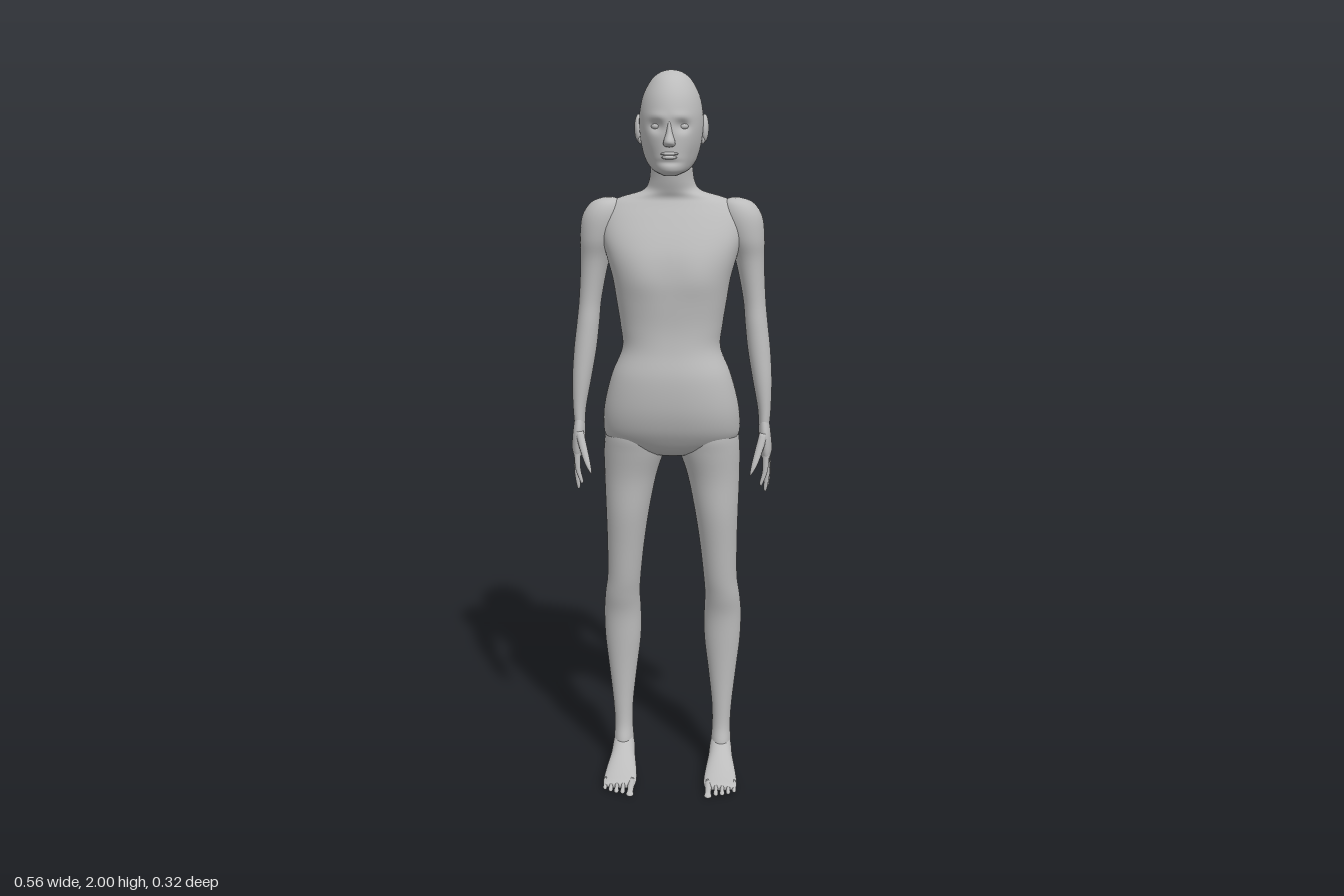
import * as THREE from 'three';

const skin = new THREE.MeshStandardMaterial({ color: 0xbcbcbc });
skin.name = 'grey skin';

const bell = (d, w) => Math.exp(-(d * d) / (w * w));

// Smooth skin over superellipse sections [t, a0, a1, b0, b1, power].
// axis 'y': t = y, a = x, b = z.  axis 'z': t = z, a = x, b = y.
function loft(name, rows, { axis = 'y', side = 1, seg = 32, steps = 5, rule } = {}) {
  const full = rows.map(r => (r.length > 5 ? r : [...r, 2]));
  const at = i => full[Math.max(0, Math.min(full.length - 1, i))];
  const rings = [];
  for (let i = 0; i < full.length - 1; i++) {
    for (let s = 0; s < steps || (i === full.length - 2 && s === steps); s++) {
      const u = s / steps;
      rings.push(full[0].map((_, k) => {
        const [p, q, r, w] = [at(i - 1)[k], at(i)[k], at(i + 1)[k], at(i + 2)[k]];
        return q + 0.5 * u * (r - p + u * (2 * p - 5 * q + 4 * r - w + u * (3 * (q - r) + w - p)));
      }));
    }
  }
  const pos = [], idx = [];
  const put = (t, a, b) => {
    const v = axis === 'y' ? new THREE.Vector3(a * side, t, b) : new THREE.Vector3(a * side, b, t);
    if (rule) rule(v);
    pos.push(v.x, v.y, v.z);
  };
  for (const [t, a0, a1, b0, b1, n] of rings) {
    for (let j = 0; j < seg; j++) {
      const f = (j / seg) * Math.PI * 2, c = Math.cos(f), d = Math.sin(f);
      put(t, (a0 + a1) / 2 + (a1 - a0) / 2 * Math.sign(c) * Math.abs(c) ** (2 / n),
        (b0 + b1) / 2 + (b1 - b0) / 2 * Math.sign(d) * Math.abs(d) ** (2 / n));
    }
  }
  const last = rings.length - 1, cap = rings.length * seg;
  for (const r of [rings[0], rings[last]]) put(r[0], (r[1] + r[2]) / 2, (r[3] + r[4]) / 2);
  for (let j = 0; j < seg; j++) {
    const k = (j + 1) % seg;
    for (let i = 0; i < last; i++) {
      const p = i * seg, q = p + seg;
      idx.push(p + j, p + k, q + j, p + k, q + k, q + j);
    }
    idx.push(cap, k, j, cap + 1, last * seg + j, last * seg + k);
  }
  // Turn the faces outward, whichever way the sections run
  let volume = 0;
  const P = i => new THREE.Vector3().fromArray(pos, i * 3);
  for (let i = 0; i < idx.length; i += 3) volume += P(idx[i]).dot(P(idx[i + 1]).cross(P(idx[i + 2])));
  if (volume < 0) idx.reverse();
  const geo = new THREE.BufferGeometry();
  geo.setAttribute('position', new THREE.Float32BufferAttribute(pos, 3));
  geo.setIndex(idx);
  geo.computeVertexNormals();
  const mesh = new THREE.Mesh(geo, skin);
  mesh.name = name;
  return mesh;
}

function ball(name, [x, y, z], [rx, ry, rz], tilt = 0) {
  const mesh = new THREE.Mesh(new THREE.SphereGeometry(1, 24, 16), skin);
  mesh.name = name;
  mesh.position.set(x, y, z);
  mesh.scale.set(rx, ry, rz);
  mesh.rotation.x = tilt;
  return mesh;
}

// Symmetric section: half width, back, front
const sym = rows => rows.map(([y, w, z0, z1, n = 2]) => [y, -w, w, z0, z1, n]);

// Thin digit hanging along y through points [x, y, z, radius]
const digit = (name, pts, side) => loft(name,
  pts.map(([x, y, z, r]) => [y, x - r, x + r, z - r, z + r]), { side, seg: 10, steps: 4 });

function buildTorso() {
  return loft('torso', sym([
    [1.75, 0.056, -0.084, 0.042], [1.715, 0.061, -0.092, 0.034], [1.69, 0.078, -0.106, 0.026],
    [1.672, 0.135, -0.118, 0.02], [1.655, 0.17, -0.13, 0.026, 2.1], [1.62, 0.19, -0.147, 0.045, 2.3],
    [1.57, 0.19, -0.155, 0.07, 2.5], [1.52, 0.177, -0.158, 0.088, 2.6], [1.46, 0.16, -0.154, 0.096, 2.6],
    [1.4, 0.15, -0.144, 0.094, 2.5], [1.33, 0.139, -0.127, 0.091, 2.4], [1.27, 0.134, -0.111, 0.096, 2.3],
    [1.2, 0.162, -0.109, 0.109, 2.3], [1.12, 0.183, -0.132, 0.107, 2.4], [1.06, 0.189, -0.147, 0.093, 2.5],
    [1.02, 0.183, -0.138, 0.073, 2.4], [0.99, 0.145, -0.112, 0.05, 2.2], [0.97, 0.07, -0.065, 0.02],
  ]), {
    seg: 80,
    rule: v => {
      if (v.z < -0.05) { // spine groove and cleft
        v.z += 0.006 * bell(v.x, 0.025) * bell(v.y - 1.38, 0.2);
        v.z += 0.028 * bell(v.x, 0.016) * bell(v.y - 1.045, 0.06);
      } else if (v.z > 0.03) { // chest
        v.z += 0.005 * bell(Math.abs(v.x) - 0.075, 0.05) * bell(v.y - 1.47, 0.06);
      }
    },
  });
}

function buildHead() {
  const g = new THREE.Group();
  g.name = 'head';
  g.add(loft('skull', sym([
    [2, 0.004, -0.01, 0.0], [1.994, 0.028, -0.045, 0.03], [1.975, 0.052, -0.08, 0.066],
    [1.94, 0.072, -0.104, 0.094], [1.9, 0.082, -0.116, 0.109], [1.86, 0.084, -0.117, 0.113],
    [1.82, 0.08, -0.108, 0.113], [1.79, 0.073, -0.09, 0.112], [1.765, 0.063, -0.065, 0.112],
    [1.745, 0.047, -0.025, 0.108], [1.733, 0.02, 0.03, 0.09],
  ]), {
    seg: 80,
    steps: 7,
    rule: v => {
      if (v.z < 0.02) return;
      v.x *= 1 - 0.12 * bell(v.y - 1.76, 0.05) * Math.min(1, (v.z - 0.02) / 0.05); // narrow jaw
      v.z -= 0.014 * bell(Math.abs(v.x) - 0.034, 0.017) * bell(v.y - 1.858, 0.014); // eye sockets
      v.z += 0.004 * bell(Math.abs(v.x) - 0.03, 0.025) * bell(v.y - 1.883, 0.01); // brow
      v.z -= 0.005 * bell(v.x, 0.03) * bell(v.y - 1.768, 0.007); // hollow above chin
    },
  }));
  g.add(loft('nose', sym([
    [1.872, 0.005, 0.09, 0.112], [1.842, 0.009, 0.09, 0.122], [1.82, 0.015, 0.09, 0.134],
    [1.81, 0.014, 0.09, 0.125], [1.806, 0.005, 0.095, 0.11],
  ]), { seg: 20 }));
  g.add(ball('upperLip', [0, 1.79, 0.108], [0.023, 0.005, 0.011]));
  g.add(ball('lowerLip', [0, 1.781, 0.107], [0.02, 0.0055, 0.011]));
  for (const s of [1, -1]) {
    g.add(ball('eye', [s * 0.034, 1.858, 0.083], [0.014, 0.009, 0.012]));
    g.add(ball('ear', [s * 0.087, 1.852, -0.012], [0.011, 0.036, 0.02], -0.15));
    g.add(ball('earLobe', [s * 0.082, 1.823, -0.004], [0.007, 0.012, 0.01]));
  }
  return g;
}

function buildArm(side) {
  const g = new THREE.Group();
  g.name = side > 0 ? 'leftArm' : 'rightArm';
  g.add(loft('arm', [
    [1.67, 0.155, 0.185, -0.06, -0.03], [1.657, 0.135, 0.218, -0.09, -0.002], [1.62, 0.13, 0.243, -0.102, 0.012],
    [1.56, 0.15, 0.25, -0.104, 0.01], [1.5, 0.172, 0.25, -0.1, -0.004], [1.4, 0.193, 0.255, -0.088, -0.01],
    [1.33, 0.2, 0.262, -0.079, -0.004], [1.26, 0.208, 0.27, -0.07, 0.002], [1.18, 0.222, 0.275, -0.058, 0.007],
    [1.1, 0.237, 0.274, -0.046, 0.008], [1.05, 0.241, 0.27, -0.042, 0.01],
  ], { side }));
  g.add(loft('palm', [
    [1.07, 0.242, 0.269, -0.042, 0.008], [1.03, 0.24, 0.275, -0.052, 0.02],
    [0.985, 0.243, 0.279, -0.064, 0.018], [0.96, 0.25, 0.274, -0.062, 0.012],
  ], { side }));
  // Four fingers: root z, tip x, tip y, tip z
  for (const [z, tx, ty, tz] of [
    [0.005, 0.25, 0.885, 0.012], [-0.015, 0.262, 0.862, -0.016], [-0.035, 0.268, 0.868, -0.045], [-0.053, 0.27, 0.9, -0.078],
  ]) {
    g.add(digit('finger', [
      [0.262, 0.98, z, 0.0095], [(0.27 + tx) / 2, (0.97 + ty) / 2, (z + tz) / 2, 0.0075],
      [tx, ty + 0.008, tz, 0.005], [tx, ty, tz, 0.001],
    ], side));
  }
  g.add(digit('thumb', [
    [0.255, 1.035, 0.008, 0.012], [0.242, 0.99, 0.026, 0.011], [0.229, 0.95, 0.042, 0.008], [0.219, 0.925, 0.05, 0.002],
  ], side));
  return g;
}

function buildLeg(side) {
  const g = new THREE.Group();
  g.name = side > 0 ? 'leftLeg' : 'rightLeg';
  g.add(loft('leg', [
    [1.09, 0.04, 0.17, -0.1, 0.05], [1.03, 0.018, 0.185, -0.128, 0.06], [0.98, 0.02, 0.19, -0.122, 0.052],
    [0.9, 0.044, 0.19, -0.115, 0.037], [0.8, 0.064, 0.187, -0.107, 0.03], [0.7, 0.079, 0.185, -0.104, 0.016],
    [0.6, 0.09, 0.186, -0.105, 0.002], [0.54, 0.094, 0.194, -0.115, -0.01], [0.48, 0.092, 0.199, -0.13, -0.024],
    [0.4, 0.093, 0.197, -0.128, -0.03], [0.3, 0.105, 0.186, -0.115, -0.035], [0.2, 0.116, 0.175, -0.102, -0.036],
    [0.13, 0.118, 0.171, -0.101, -0.033], [0.08, 0.115, 0.173, -0.106, -0.02], [0.03, 0.118, 0.17, -0.105, -0.02],
  ], { side, seg: 40 }));
  g.add(loft('foot', [
    [-0.114, 0.135, 0.155, 0.012, 0.04], [-0.104, 0.12, 0.168, 0, 0.08], [-0.06, 0.112, 0.175, 0, 0.115],
    [-0.02, 0.108, 0.179, 0.002, 0.083], [0.03, 0.101, 0.187, 0.004, 0.053], [0.075, 0.097, 0.192, 0, 0.034],
    [0.105, 0.1, 0.191, 0.002, 0.024], [0.114, 0.107, 0.185, 0.006, 0.017],
  ], { axis: 'z', side, rule: v => { v.y = Math.max(0, v.y); } }));
  // Toes: x, tip z, radius
  [[0.111, 0.16, 0.011], [0.133, 0.145, 0.007], [0.151, 0.142, 0.007], [0.168, 0.134, 0.0065], [0.185, 0.123, 0.006]]
    .forEach(([x, z, r], i) => g.add(loft(i ? 'toe' : 'bigToe', [
      [0.085, x - r, x + r, 0.002, 0.026], [z - 0.022, x - r * 0.8, x + r * 0.8, 0.003, 0.019],
      [z - 0.008, x - r, x + r, 0.001, 0.015], [z, x - r * 0.3, x + r * 0.3, 0.005, 0.009],
    ], { axis: 'z', side, seg: 12, steps: 4 })));
  return g;
}

export function createModel() {
  const model = new THREE.Group();
  model.name = 'standingFigure';
  model.add(buildTorso(), buildHead());
  for (const side of [1, -1]) model.add(buildArm(side), buildLeg(side));
  return model;
}
